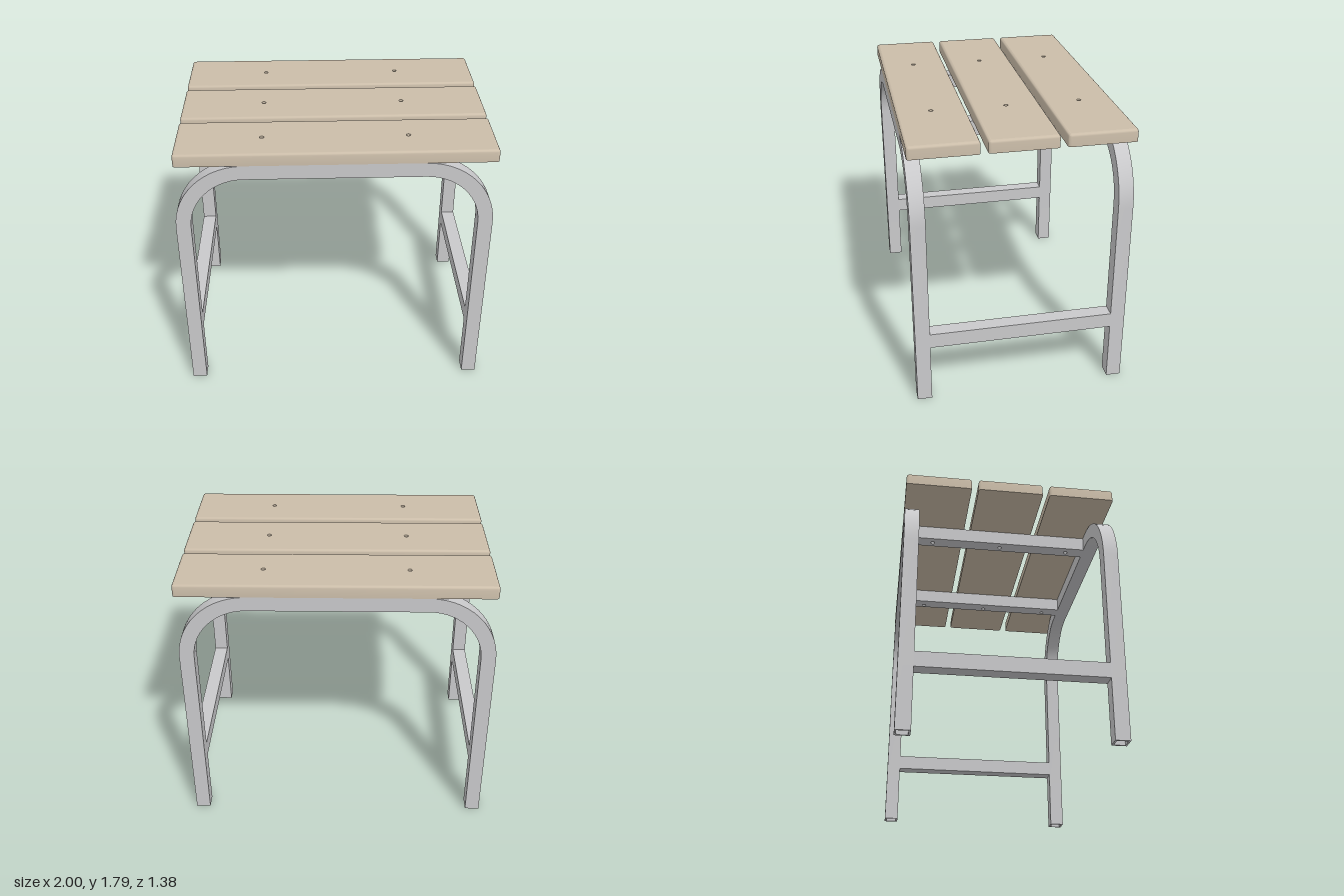
import * as THREE from 'three';
import { toCreasedNormals } from 'three/addons/utils/BufferGeometryUtils.js';

const wood = new THREE.MeshStandardMaterial({ name: 'pale wood', color: 0xcbbda9 });
const steel = new THREE.MeshStandardMaterial({ name: 'grey steel', color: 0xc9c9cb });

const TUBE = 0.095;        // width of the square tube
const FRAME_TOP = 1.715;
const HALF_DEPTH = 0.69;
const PLANK_H = 0.08, PLANK_W = 0.43, PLANK_PITCH = 0.475;
const HOLE_R = 0.014;

function addMesh(parent, name, geometry, material) {
  const mesh = new THREE.Mesh(geometry, material);
  mesh.name = name;
  parent.add(mesh);
  return mesh;
}

// Skin over rows of closed cross-section loops
function skin(rows) {
  const n = rows[0].length, index = [];
  for (let i = 0; i < rows.length - 1; i++) {
    for (let j = 0; j < n; j++) {
      const k = (j + 1) % n;
      const a = i * n + j, b = i * n + k, c = a + n, d = b + n;
      index.push(a, b, d, a, d, c);
    }
  }
  const g = new THREE.BufferGeometry();
  g.setAttribute('position', new THREE.Float32BufferAttribute(rows.flat(2), 3));
  g.setIndex(index);
  return toCreasedNormals(g, 0.5);
}

// Flat slab standing on y = 0 with round holes drilled down through it
function drilledSlab(x0, x1, halfZ, height, holes) {
  const s = new THREE.Shape();
  s.moveTo(x0, -halfZ).lineTo(x1, -halfZ).lineTo(x1, halfZ).lineTo(x0, halfZ).closePath();
  for (const [x, z] of holes) {
    s.holes.push(new THREE.Path().absarc(x, -z, HOLE_R, 0, Math.PI * 2, true));
  }
  return new THREE.ExtrudeGeometry(s, { depth: height, bevelEnabled: false, curveSegments: 10 })
    .rotateX(-Math.PI / 2);
}

// Rim of a plank: square below, rounded along the top and at the corners
function plankRim(x0, x1, halfZ, height, r) {
  const loop = (rho, y) => {
    const pts = [];
    for (let c = 0; c < 4; c++) {
      const cx = c === 0 || c === 3 ? x1 : x0;
      const cz = c < 2 ? -halfZ : halfZ;
      for (let s = 0; s <= 4; s++) {
        const t = (c + s / 4) * Math.PI / 2;
        pts.push([cx + rho * Math.cos(t), y, cz - rho * Math.sin(t)]);
      }
    }
    return pts;
  };
  const rows = [loop(0, 0), loop(r, 0)];
  for (let i = 0; i <= 5; i++) {
    const t = i / 5 * Math.PI / 2;
    rows.push(loop(r * Math.cos(t), height - r + r * Math.sin(t)));
  }
  return skin(rows);
}

// Hollow square tube bent into an arch with two legs, open at the feet
function archFrame() {
  const R = 0.44, bendX = 0.56, bendY = FRAME_TOP - R, wall = 0.012, steps = 14;
  const stations = [[-bendX, 0, Math.PI]];
  for (const [cx, start] of [[-bendX, Math.PI], [bendX, Math.PI / 2]]) {
    for (let i = 0; i <= steps; i++) stations.push([cx, bendY, start - i / steps * Math.PI / 2]);
  }
  stations.push([bendX, 0, 0]);
  const section = (inset) => ([cx, cy, t]) => {
    const hi = R - inset, lo = R - TUBE + inset, z = TUBE / 2 - inset;
    return [[hi, -z], [hi, z], [lo, z], [lo, -z]]
      .map(([d, pz]) => [cx + d * Math.cos(t), cy + d * Math.sin(t), pz]);
  };
  const outer = stations.map(section(0));
  const inner = stations.map(section(wall)).reverse();
  return skin([...outer, ...inner, outer[0]]);
}

export function createModel() {
  const model = new THREE.Group();
  model.name = 'slattedBench';
  const holeX = [-0.447, 0.462];
  const rows = [-PLANK_PITCH, 0, PLANK_PITCH];

  // Front and back arches
  const arch = archFrame();
  for (const [name, side] of [['frontArch', 1], ['backArch', -1]]) {
    addMesh(model, name, arch, steel).position.z = side * (HALF_DEPTH - TUBE / 2);
  }

  // Low stretchers between the legs
  const span = 2 * (HALF_DEPTH - TUBE);
  for (const [name, side] of [['leftStretcher', 1], ['rightStretcher', -1]]) {
    addMesh(model, name, new THREE.BoxGeometry(TUBE, 0.1, span), steel)
      .position.set(side * (1 - TUBE / 2), 0.45, 0);
  }

  // Drilled bars under the seat
  [[-0.5, 'rightSeatBar'], [0.395, 'leftSeatBar']].forEach(([x, name], i) => {
    const holes = rows.map((z) => [holeX[i], z]);
    addMesh(model, name, drilledSlab(x, x + TUBE, span / 2, TUBE, holes), steel)
      .position.y = FRAME_TOP - TUBE;
  });

  // Seat planks
  const r = 0.018, x0 = -0.98 + r, x1 = 1 - r, halfZ = PLANK_W / 2 - r;
  const board = drilledSlab(x0, x1, halfZ, PLANK_H, holeX.map((x) => [x, 0]));
  const rim = plankRim(x0, x1, halfZ, PLANK_H, r);
  rows.forEach((z, i) => {
    const plank = new THREE.Group();
    plank.name = ['backPlank', 'middlePlank', 'frontPlank'][i];
    plank.position.set(0, FRAME_TOP, z);
    addMesh(plank, 'board', board, wood);
    addMesh(plank, 'roundedRim', rim, wood);
    model.add(plank);
  });

  return model;
}
